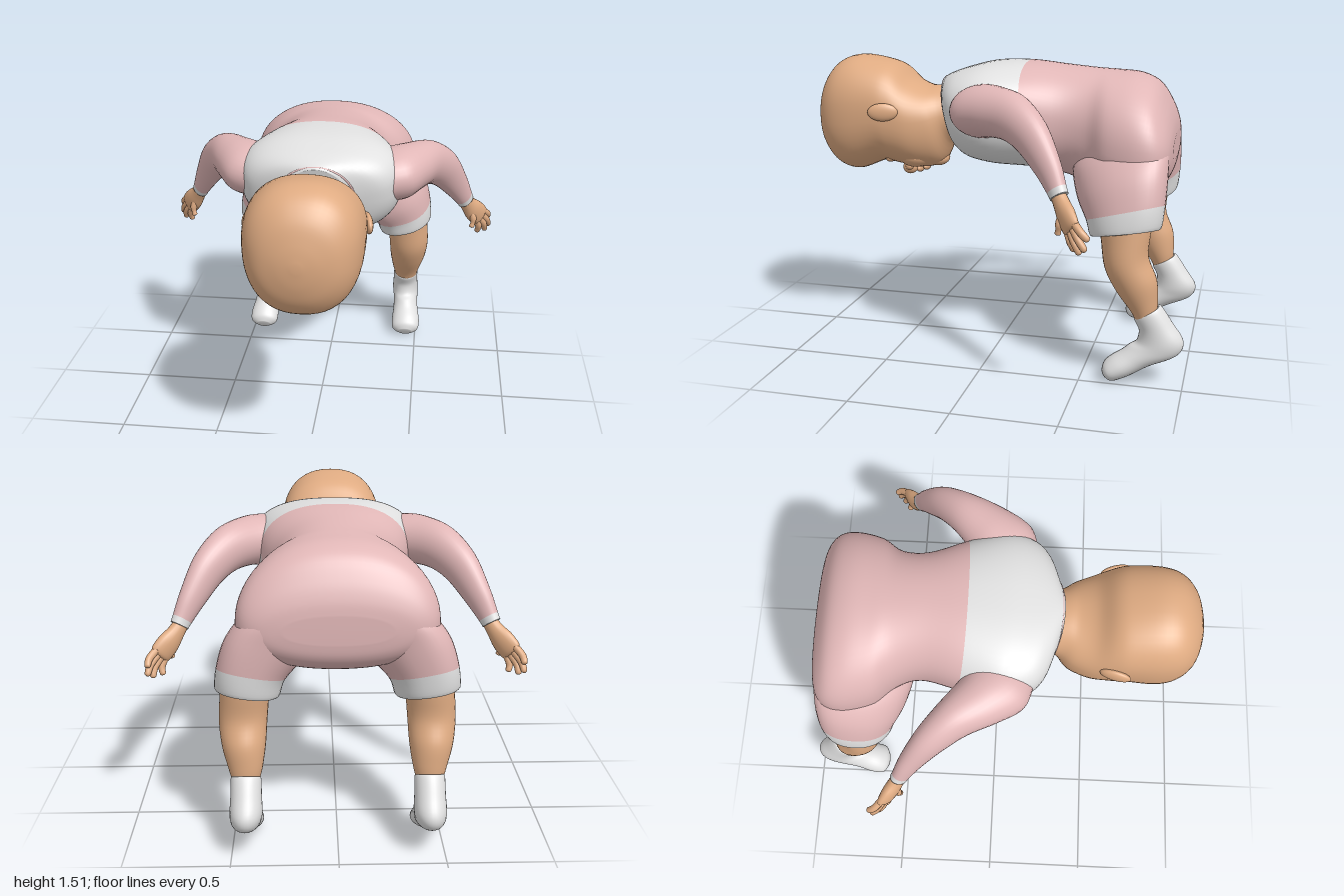
import * as THREE from 'three';

const material = (name, color) => {
  const m = new THREE.MeshStandardMaterial({ color });
  m.name = name;
  return m;
};

// Rings are flat records: centre, width vector, upper vector, lower vector, roundness
const mirrorRing = (r) => r.map((v, i) => (i < 12 && i % 3 === 0 ? -v : v));

// Ring between a front and a back point, each [z, y]; width runs along x,
// rising by slope and swept in z by skew toward the outside
const span = (cx, w, f, b, slope = 0, skew = 0, n = 2) => {
  const v = [0, (f[1] - b[1]) / 2, (f[0] - b[0]) / 2];
  return [cx, (f[1] + b[1]) / 2, (f[0] + b[0]) / 2, w, slope, skew, ...v, ...v, n];
};

// Upright ring: top and bottom heights differ, and both ends may lean in z
const slice = (z, cy, top, bottom, w, n = 2.2, lean = 0) =>
  [0, cy, z, w, 0, 0, 0, top - cy, lean, 0, cy - bottom, lean, n];

// Rings square to a path of [x, y, z, horizontal radius, vertical radius]
const along = (pts) => pts.map((p, i) => {
  const a = pts[Math.max(i - 1, 0)], b = pts[Math.min(i + 1, pts.length - 1)];
  const t = new THREE.Vector3(b[0] - a[0], b[1] - a[1], b[2] - a[2]).normalize();
  const u = new THREE.Vector3(-t.z, 0, t.x).normalize();
  const v = u.clone().cross(t).multiplyScalar(p[4]);
  u.multiplyScalar(p[3]);
  return [p[0], p[1], p[2], ...u.toArray(), ...v.toArray(), ...v.toArray(), 2];
});

// Smooth skin through the rings; paints = [[first ring, material], ...]
function loft(name, rings, paints, seg = 32, sub = 5) {
  const rows = [];
  const last = rings.length - 1;
  for (let s = 0; s <= last * sub; s++) {
    const i = Math.min(Math.floor(s / sub), last - 1), t = s / sub - i;
    const [a, b, c, d] = [i - 1, i, i + 1, i + 2].map((k) => rings[Math.min(Math.max(k, 0), last)]);
    rows.push(b.map((_, k) => 0.5 * (2 * b[k] + (c[k] - a[k]) * t
      + (2 * a[k] - 5 * b[k] + 4 * c[k] - d[k]) * t * t
      + (3 * b[k] - a[k] - 3 * c[k] + d[k]) * t * t * t)));
  }
  const pos = [], idx = [];
  const power = (v, n) => Math.sign(v) * Math.abs(v) ** (2 / n);
  for (const r of rows) {
    for (let j = 0; j < seg; j++) {
      const th = (j / seg) * Math.PI * 2;
      const c = power(Math.cos(th), r[12]), s = power(Math.sin(th), r[12]);
      const o = s > 0 ? 6 : 9;
      for (let k = 0; k < 3; k++) pos.push(r[k] + r[3 + k] * c + r[o + k] * s);
    }
  }
  // Decide which way the faces turn
  let turn = 0;
  const vec = (r, o) => new THREE.Vector3(r[o], r[o + 1], r[o + 2]);
  for (let i = 0; i + 1 < rows.length; i++) {
    turn += vec(rows[i], 3).cross(vec(rows[i], 6)).dot(vec(rows[i + 1], 0).sub(vec(rows[i], 0)));
  }
  const tri = (a, b, c) => (turn > 0 ? idx.push(a, b, c) : idx.push(a, c, b));
  const end = rows.length * seg;
  pos.push(...rows[0].slice(0, 3), ...rows[rows.length - 1].slice(0, 3));
  const starts = [];
  for (let i = 0; i + 1 < rows.length; i++) {
    if (paints.some((p) => p[0] * sub === i)) starts.push(idx.length);
    for (let j = 0; j < seg; j++) {
      const k = (j + 1) % seg, a = i * seg, b = a + seg;
      if (i === 0) tri(k, j, end);
      tri(a + j, a + k, b + k);
      tri(a + j, b + k, b + j);
      if (i === rows.length - 2) tri(b + j, b + k, end + 1);
    }
  }
  const g = new THREE.BufferGeometry();
  g.setAttribute('position', new THREE.Float32BufferAttribute(pos, 3));
  g.setIndex(idx);
  g.computeVertexNormals();
  starts.forEach((s, i) => g.addGroup(s, (starts[i + 1] ?? idx.length) - s, i));
  const mesh = new THREE.Mesh(g, paints.map((p) => p[1]));
  if (paints.length === 1) { g.clearGroups(); mesh.material = paints[0][1]; }
  mesh.name = name;
  return mesh;
}

function blob(name, mat, position, scale, turn = 0) {
  const mesh = new THREE.Mesh(new THREE.SphereGeometry(1, 24, 16), mat);
  mesh.name = name;
  mesh.position.set(...position);
  mesh.scale.set(...scale);
  mesh.rotation.y = turn;
  return mesh;
}

export function createModel() {
  const model = new THREE.Group();
  model.name = 'bendingBaby';
  const skin = material('skin', 0xdfab82);
  const pink = material('pinkCloth', 0xe1b7b7);
  const white = material('whiteCloth', 0xe1e1e1);

  // Torso: white yoke at the chest, pink toward the broad rump
  model.add(loft('torso', [
    slice(0.28, 1.235, 1.4, 1.075, 0.16, 2, 0.04),
    slice(0.268, 1.235, 1.412, 1.055, 0.195, 2, 0.042),
    slice(0.225, 1.25, 1.435, 1.025, 0.32, 2.2, 0.04),
    slice(0.15, 1.27, 1.463, 1.0, 0.385, 2.5, 0.035),
    slice(0.02, 1.28, 1.495, 0.98, 0.41, 2.5, 0.03),
    slice(-0.17, 1.27, 1.503, 0.965, 0.365, 2.3, 0.035),
    slice(-0.35, 1.22, 1.487, 0.93, 0.313, 2.2, 0.02),
    slice(-0.48, 1.16, 1.474, 0.88, 0.335, 2.2),
    slice(-0.58, 1.12, 1.467, 0.85, 0.415, 2.2),
    slice(-0.7, 1.1, 1.455, 0.86, 0.455, 2.2),
    slice(-0.79, 1.1, 1.41, 0.89, 0.455, 2.2),
    slice(-0.85, 1.1, 1.318, 0.93, 0.42, 2.2),
    slice(-0.882, 1.1, 1.235, 0.98, 0.35, 2.2),
    slice(-0.893, 1.1, 1.17, 1.04, 0.24, 2.2),
  ], [[0, white], [5, pink]], 64));

  // Piping round the neck opening
  const piping = new THREE.Mesh(new THREE.TorusGeometry(0.19, 0.005, 8, 48), pink);
  piping.name = 'collarPiping';
  piping.position.set(0, 1.235, 0.268);
  piping.scale.y = 0.94;
  piping.rotation.x = 0.23;
  model.add(piping);

  // Neck and head, face turned to the ground
  const head = new THREE.Group();
  head.name = 'head';
  model.add(head);
  head.add(loft('skull', [
    slice(0.2, 1.22, 1.34, 1.1, 0.14, 2),
    slice(0.3, 1.22, 1.36, 1.07, 0.165, 2, 0.03),
    slice(0.365, 1.2, 1.362, 0.955, 0.212, 2.1, 0.035),
    slice(0.46, 1.19, 1.392, 0.925, 0.25, 2.2, 0.02),
    slice(0.56, 1.22, 1.462, 0.945, 0.268, 2.3),
    slice(0.64, 1.24, 1.492, 0.955, 0.275, 2.3),
    slice(0.78, 1.23, 1.512, 0.903, 0.272, 2.3),
    slice(0.88, 1.22, 1.48, 0.925, 0.245, 2.3),
    slice(0.95, 1.2, 1.4, 1.0, 0.185, 2.2),
    slice(0.985, 1.2, 1.3, 1.09, 0.1, 2),
    slice(0.998, 1.2, 1.22, 1.18, 0.02, 2),
  ], [[0, skin]], 48));
  head.add(blob('nose', skin, [0, 0.912, 0.525], [0.036, 0.036, 0.04]));
  head.add(blob('upperLip', skin, [0, 0.912, 0.465], [0.05, 0.022, 0.018]));
  head.add(blob('lowerLip', skin, [0, 0.922, 0.43], [0.042, 0.02, 0.018]));
  head.add(blob('chin', skin, [0, 0.972, 0.36], [0.08, 0.04, 0.055]));

  for (const side of [1, -1]) {
    const label = side > 0 ? 'left' : 'right';
    const pick = (rings) => (side > 0 ? rings : rings.map(mirrorRing));
    const add = (part, rings, paints, seg) => model.add(loft(label + part, pick(rings), paints, seg));

    // Face details
    head.add(blob(label + 'Ear', skin, [side * 0.272, 1.247, 0.57], [0.022, 0.046, 0.077], side * 0.25));
    head.add(blob(label + 'Cheek', skin, [side * 0.09, 1.0, 0.46], [0.09, 0.064, 0.09]));
    head.add(blob(label + 'Nostril', skin, [side * 0.028, 0.922, 0.52], [0.02, 0.02, 0.022]));
    head.add(blob(label + 'Eyelid', skin, [side * 0.1, 0.98, 0.595], [0.045, 0.022, 0.028]));

    // Sleeve tapering to a white cuff
    add('Sleeve', along([
      [0.3, 1.28, 0.03, 0.165, 0.125],
      [0.37, 1.29, 0.005, 0.168, 0.13],
      [0.44, 1.3, -0.065, 0.135, 0.122],
      [0.53, 1.288, -0.18, 0.1, 0.115],
      [0.615, 1.22, -0.285, 0.077, 0.1],
      [0.69, 1.1, -0.378, 0.055, 0.075],
      [0.737, 1.01, -0.43, 0.042, 0.054],
      [0.75, 0.983, -0.444, 0.04, 0.05],
    ]), [[0, pink], [6, white]]);

    // Hand with four fingers and a thumb
    add('Palm', along([
      [0.735, 1.0, -0.43, 0.033, 0.038],
      [0.765, 0.955, -0.458, 0.035, 0.045],
      [0.8, 0.91, -0.487, 0.036, 0.06],
      [0.835, 0.868, -0.515, 0.028, 0.06],
      [0.845, 0.855, -0.525, 0.014, 0.045],
    ]), [[0, skin]], 20);
    const tips = [[0.888, 0.83, -0.602], [0.893, 0.782, -0.59], [0.872, 0.761, -0.562], [0.826, 0.763, -0.53]];
    const digits = tips.map((tip, i) => [[0.852 - i * 0.011, 0.893 - i * 0.018, -0.532 + i * 0.011], tip]);
    digits.push([[0.785, 0.91, -0.462], [0.79, 0.82, -0.447]]);
    digits.forEach(([a, b], i) => {
      const radii = [0.019, 0.018, 0.015, 0.006];
      const pts = [0, 0.5, 0.9, 1].map((t, k) =>
        [...a.map((v, m) => v + (b[m] - v) * t + (m === 0 ? 0.012 * Math.sin(Math.PI * t) : 0)), radii[k], radii[k]]);
      add(i < 4 ? 'Finger' + (i + 1) : 'Thumb', along(pts), [[0, skin]], 12);
    });

    // Shorts leg with white hem, turned in round the thigh
    add('ShortsLeg', [
      span(0.17, 0.17, [-0.46, 1.12], [-0.8, 1.24], 0, -0.03),
      span(0.235, 0.205, [-0.41, 1.02], [-0.868, 1.15], 0.02, -0.045, 2.2),
      span(0.325, 0.19, [-0.445, 0.89], [-0.88, 1.02], 0.05, -0.04, 2.3),
      span(0.397, 0.158, [-0.505, 0.79], [-0.88, 0.885], 0.04, -0.025, 2.3),
      span(0.417, 0.148, [-0.53, 0.72], [-0.868, 0.78], 0.03, -0.02, 2.2),
      span(0.42, 0.125, [-0.56, 0.735], [-0.845, 0.785], 0.03, -0.01, 2.1),
    ], [[0, pink], [3, white]], 40);

    // Bare leg
    add('Leg', [
      span(0.42, 0.118, [-0.565, 0.82], [-0.83, 0.86]),
      span(0.43, 0.115, [-0.585, 0.72], [-0.822, 0.76]),
      span(0.44, 0.113, [-0.608, 0.58], [-0.815, 0.64]),
      span(0.437, 0.102, [-0.662, 0.47], [-0.857, 0.53]),
      span(0.43, 0.078, [-0.737, 0.365], [-0.866, 0.43]),
      span(0.43, 0.06, [-0.765, 0.31], [-0.865, 0.36]),
    ], [[0, skin]]);

    // Sock, from ankle over the heel to the toes
    add('Sock', [
      span(0.428, 0.064, [-0.765, 0.34], [-0.868, 0.39]),
      span(0.428, 0.071, [-0.755, 0.325], [-0.885, 0.392]),
      span(0.427, 0.073, [-0.78, 0.27], [-0.942, 0.31]),
      span(0.428, 0.077, [-0.77, 0.215], [-0.995, 0.225]),
      span(0.432, 0.074, [-0.735, 0.19], [-0.965, 0.155]),
      span(0.436, 0.074, [-0.7, 0.16], [-0.84, 0.095]),
      span(0.44, 0.083, [-0.65, 0.125], [-0.74, 0.035]),
      span(0.44, 0.077, [-0.617, 0.092], [-0.67, 0.004]),
      span(0.44, 0.04, [-0.607, 0.055], [-0.635, 0.01]),
    ], [[0, white]]);
  }
  return model;
}
